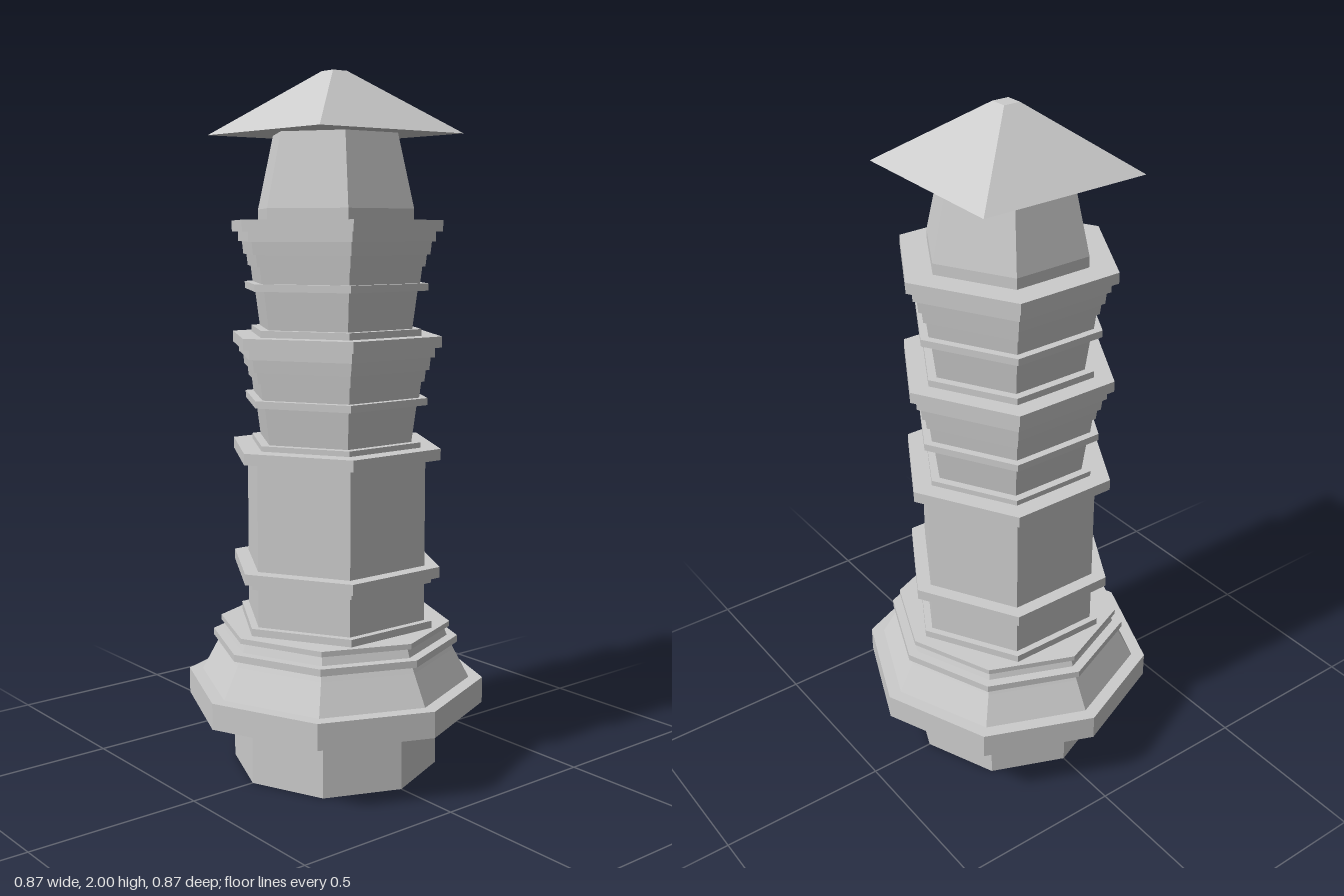
import * as THREE from 'three';

const material = new THREE.MeshStandardMaterial({ color: 0xcccccc, flatShading: true });
const openMaterial = new THREE.MeshStandardMaterial({ color: 0xcccccc, flatShading: true, side: THREE.DoubleSide });

export function createModel() {
  const tower = new THREE.Group();
  tower.name = 'tower';

  const add = (name, geometry, y = 0, mat = material) => {
    const mesh = new THREE.Mesh(geometry, mat);
    mesh.name = name;
    mesh.position.y = y;
    tower.add(mesh);
    return mesh;
  };

  // Faceted solid from a profile of [radius, height], corners on the x axis
  const faceted = (name, sides, profile, y = 0) => {
    const points = profile.map(([r, h]) => new THREE.Vector2(r, h));
    return add(name, new THREE.LatheGeometry(points, sides, Math.PI / 2), y);
  };

  // Hollow octagonal foot, open underneath
  add('foot', new THREE.CylinderGeometry(0.3, 0.3, 0.19, 8, 1, true), 0.095, openMaterial);

  // Octagonal plinth with stepped mouldings
  faceted('plinth', 8, [
    [0, 0.19], [0.435, 0.19], [0.435, 0.265], [0.395, 0.265],
    [0.35, 0.35], [0.34, 0.37], [0.36, 0.37], [0.36, 0.39],
    [0.33, 0.39], [0.32, 0.417], [0.337, 0.417], [0.337, 0.432], [0, 0.432],
  ]);

  // Straight hexagonal shaft with a band at the foot and in the middle
  faceted('shaft', 6, [
    [0, 0.43], [0.298, 0.43], [0.298, 0.453], [0.275, 0.453],
    [0.275, 0.565], [0.295, 0.565], [0.295, 0.582], [0.32, 0.582],
    [0.32, 0.613], [0.275, 0.613], [0.275, 0.921], [0, 0.921],
  ]);

  // Collar on top of the shaft
  faceted('collar', 6, [
    [0, 0.921], [0.32, 0.921], [0.32, 0.953], [0.26, 0.953], [0.26, 0.968], [0, 0.968],
  ]);

  // Two flared storeys, each stepping out to a cornice
  const storey = [
    [0, 0], [0.233, 0], [0.248, 0.107], [0.28, 0.107], [0.28, 0.127],
    [0.255, 0.127], [0.261, 0.173], [0.27, 0.173], [0.274, 0.206],
    [0.284, 0.206], [0.288, 0.242], [0.3, 0.242], [0.3, 0.27],
    [0.32, 0.27], [0.32, 0.301], [0.26, 0.301], [0.26, 0.32], [0, 0.32],
  ];
  faceted('lowerStorey', 6, storey, 0.968);
  faceted('upperStorey', 6, storey.slice(0, -3).concat([[0, 0.301]]), 1.288);

  // Tapered hexagonal head
  faceted('head', 6, [[0, 1.585], [0.236, 1.585], [0.236, 1.62], [0.187, 1.83], [0, 1.83]]);

  // Square hipped roof with a small flat top
  const roof = add('roof', new THREE.CylinderGeometry(0.025 * Math.SQRT2, 0.255 * Math.SQRT2, 0.173, 4), 1.9135);
  roof.rotation.y = Math.PI / 4;

  return tower;
}
